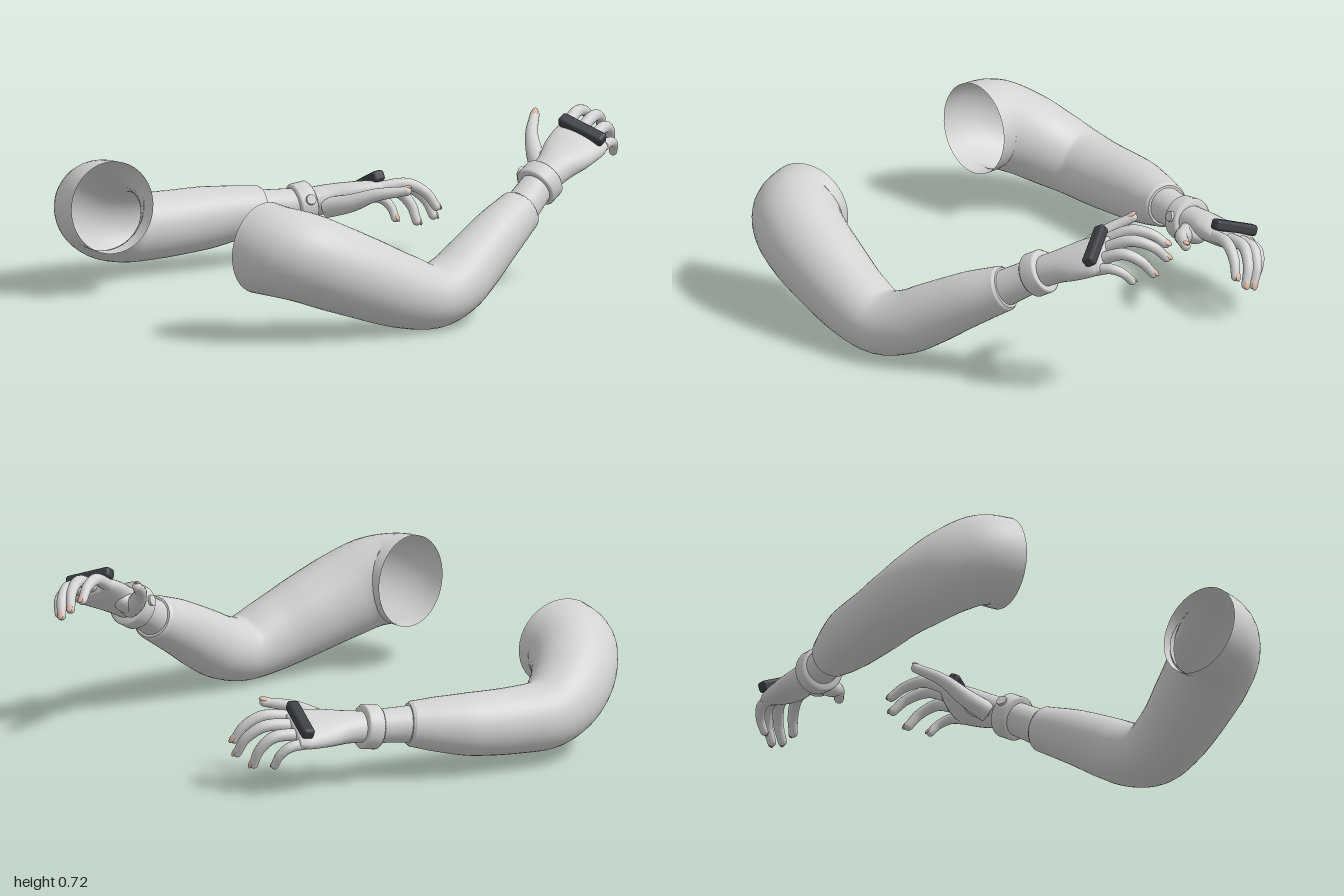
import * as THREE from 'three';
import { RoundedBoxGeometry } from 'three/addons/geometries/RoundedBoxGeometry.js';

const V = (x, y, z) => new THREE.Vector3(x, y, z);

// Smooth tube through sections [x, y, z, radiusA, radiusB]; radiusA lies along ref
function loft(sections, ref, rings, sides, capped = false) {
  const curve = new THREE.CatmullRomCurve3(sections.map((s) => V(s[0], s[1], s[2])));
  const radii = new THREE.CatmullRomCurve3(sections.map((s) => V(s[3], s[4] ?? s[3], 0)), false, 'catmullrom', 0.4);
  const pos = [], idx = [];
  for (let i = 0; i <= rings; i++) {
    const f = i / rings, c = curve.getPoint(f), t = curve.getTangent(f), r = radii.getPoint(f);
    const a = ref.clone().addScaledVector(t, -ref.dot(t)).normalize();
    const b = t.clone().cross(a);
    for (let j = 0; j < sides; j++) {
      const q = (j / sides) * Math.PI * 2;
      const p = c.clone().addScaledVector(a, r.x * Math.cos(q)).addScaledVector(b, r.y * Math.sin(q));
      pos.push(p.x, p.y, p.z);
      if (i < rings) {
        const k = i * sides + j, n = i * sides + ((j + 1) % sides);
        idx.push(k, n, k + sides, n, n + sides, k + sides);
      }
    }
  }
  if (capped) {
    for (const [i, end] of [[0, 0], [rings, 1]]) {
      const c = curve.getPoint(end), centre = pos.length / 3;
      pos.push(c.x, c.y, c.z);
      for (let j = 0; j < sides; j++) {
        const k = i * sides + j, n = i * sides + ((j + 1) % sides);
        if (end) idx.push(centre, k, n);
        else idx.push(centre, n, k);
      }
    }
  }
  const g = new THREE.BufferGeometry();
  g.setAttribute('position', new THREE.Float32BufferAttribute(pos, 3));
  g.setIndex(idx);
  g.computeVertexNormals();
  return g;
}

function add(parent, name, geometry, material, position) {
  const mesh = new THREE.Mesh(geometry, material);
  mesh.name = name;
  if (position) mesh.position.copy(position);
  parent.add(mesh);
  return mesh;
}

// Digit centre lines: x outward from the thumb side, y toward the back of the hand, z forward
const DIGITS = {
  indexFinger: [[-0.085, -0.02, 0.3, 0.026], [-0.105, -0.035, 0.42, 0.024], [-0.107, -0.09, 0.485, 0.021], [-0.103, -0.15, 0.51, 0.018]],
  middleFinger: [[-0.03, -0.02, 0.31, 0.026], [-0.037, -0.035, 0.44, 0.024], [-0.043, -0.105, 0.5, 0.021], [-0.0455, -0.175, 0.512, 0.018]],
  ringFinger: [[0.03, -0.02, 0.3, 0.026], [0.028, -0.04, 0.42, 0.024], [0.028, -0.105, 0.463, 0.021], [0.0275, -0.175, 0.467, 0.018]],
  littleFinger: [[0.08, -0.025, 0.28, 0.024], [0.088, -0.045, 0.37, 0.021], [0.087, -0.09, 0.402, 0.018], [0.083, -0.138, 0.405, 0.016]],
  thumb: [[-0.04, -0.04, 0.08, 0.042], [-0.12, -0.055, 0.15, 0.036], [-0.195, -0.055, 0.235, 0.026], [-0.253, -0.075, 0.345, 0.019]],
};

function makeHand(m, mats) {
  const hand = new THREE.Group();
  // palm
  add(hand, 'palm', loft([
    [0, 0, 0.01, 0.066, 0.06], [0, -0.003, 0.1, 0.078, 0.058], [0, -0.01, 0.2, 0.106, 0.052],
    [0, -0.02, 0.29, 0.116, 0.045], [0, -0.026, 0.335, 0.105, 0.03],
  ], V(1, 0, 0), 20, 32, true), mats.shell);
  // pad and round joint at the thumb root
  add(hand, 'thumbPad', new THREE.SphereGeometry(0.05, 24, 16), mats.shell, V(-0.065 * m, -0.045, 0.13)).scale.set(1, 0.75, 1.4);
  // cuff ring with bevelled rims
  const profile = [[0.06, -0.036], [0.083, -0.036], [0.09, -0.028], [0.09, 0.028], [0.083, 0.036], [0.06, 0.036]];
  const cuff = new THREE.LatheGeometry(profile.map((p) => new THREE.Vector2(...p)), 40);
  cuff.rotateX(Math.PI / 2);
  add(hand, 'wristCuff', cuff, mats.shell);
  const stud = new THREE.CylinderGeometry(0.02, 0.022, 0.02, 20);
  stud.rotateZ(Math.PI / 2);
  add(hand, 'cuffStud', stud, mats.shell, V(-0.09 * m, 0, 0.005));
  // dark bar over the knuckles
  add(hand, 'knuckleBar', new RoundedBoxGeometry(0.208, 0.045, 0.052, 3, 0.014), mats.dark, V(-0.004 * m, 0.026, 0.31));
  // fingers and thumb, each with a rounded tip and a nail
  for (const [name, line] of Object.entries(DIGITS)) {
    const pts = line.map(([x, y, z, r]) => [x * m, y, z, r]);
    add(hand, name, loft(pts, V(1, 0.1, 0), 18, 16), mats.shell);
    const [x, y, z, r] = pts[3];
    add(hand, name + 'Tip', new THREE.SphereGeometry(r, 16, 12), mats.shell, V(x, y, z));
    const t = new THREE.CatmullRomCurve3(pts.map((p) => V(p[0], p[1], p[2]))).getTangent(1);
    const up = V(0, 1, 0).addScaledVector(t, -t.y).normalize();
    const nail = add(hand, name + 'Nail', new THREE.SphereGeometry(r, 16, 12), mats.nail, V(x, y, z).addScaledVector(up, r * 0.72));
    nail.scale.set(0.72, 0.42, 1.25);
    nail.quaternion.setFromRotationMatrix(new THREE.Matrix4().makeBasis(up.clone().cross(t), up, t));
  }
  return hand;
}

function makeArm({ name, m, sleeve, cuff, outward, forward }, mats) {
  const arm = new THREE.Group();
  arm.name = name;
  // hollow sleeve, open at the shoulder
  add(arm, 'sleeve', loft(sleeve, V(0, 1, 0), 48, 40), mats.sleeve);
  const [sx, sy, sz, r] = sleeve[sleeve.length - 1];
  const end = V(sx, sy, sz);
  const prev = sleeve[sleeve.length - 2];
  const dir = end.clone().sub(V(prev[0], prev[1], prev[2])).normalize();
  // closing rim at the end of the sleeve
  const rim = add(arm, 'sleeveRim', new THREE.CylinderGeometry(r * 0.9, r, 0.014, 40), mats.shell, end.clone().addScaledVector(dir, 0.005));
  rim.quaternion.setFromUnitVectors(V(0, 1, 0), dir);
  // wrist
  const mid = end.clone().lerp(cuff, 0.5);
  add(arm, 'wrist', loft([
    [sx, sy, sz, 0.074], [mid.x, mid.y, mid.z, 0.07], [cuff.x, cuff.y, cuff.z, 0.066],
  ], V(0, 1, 0), 8, 32), mats.shell);
  // hand, aligned to its own axes
  const hand = makeHand(m, mats);
  hand.name = 'hand';
  const zAxis = forward.clone().normalize();
  const xAxis = outward.clone().multiplyScalar(m);
  xAxis.addScaledVector(zAxis, -xAxis.dot(zAxis)).normalize();
  const yAxis = zAxis.clone().cross(xAxis);
  hand.quaternion.setFromRotationMatrix(new THREE.Matrix4().makeBasis(xAxis, yAxis, zAxis));
  hand.position.copy(cuff);
  arm.add(hand);
  return arm;
}

export function createModel() {
  const mat = (name, color, extra = {}) => {
    const material = new THREE.MeshStandardMaterial({ color, ...extra });
    material.name = name;
    return material;
  };
  const mats = {
    sleeve: mat('lightGrey', 0xd2d2d2, { side: THREE.DoubleSide }),
    dark: mat('darkGrey', 0x3c3f44),
    nail: mat('nailPink', 0xd8b6a6),
  };
  mats.shell = mats.sleeve;

  const model = new THREE.Group();
  model.name = 'pairOfArms';
  model.add(makeArm({
    name: 'leftArm', m: -1,
    sleeve: [
      [0.51, 0.37, 0.8, 0.185], [0.59, 0.365, 0.785, 0.181], [0.66, 0.345, 0.715, 0.18], [0.705, 0.3, 0.61, 0.175],
      [0.737, 0.25, 0.49, 0.166], [0.772, 0.18, 0.32, 0.15], [0.784, 0.14, 0.17, 0.13, 0.141], [0.768, 0.17, 0.05, 0.128, 0.135],
      [0.745, 0.225, -0.05, 0.125], [0.7, 0.32, -0.21, 0.111], [0.655, 0.4, -0.365, 0.092],
    ],
    cuff: V(0.605, 0.49, -0.505), outward: V(0.85, -0.35, -0.4), forward: V(-0.2, 0.5, -0.85),
  }, mats));
  model.add(makeArm({
    name: 'rightArm', m: 1,
    sleeve: [
      [-0.49, 0.37, 0.8, 0.185], [-0.59, 0.362, 0.785, 0.181], [-0.69, 0.31, 0.72, 0.17], [-0.76, 0.25, 0.625, 0.157],
      [-0.797, 0.207, 0.51, 0.142], [-0.78, 0.2, 0.375, 0.135], [-0.74, 0.21, 0.17, 0.127], [-0.7, 0.222, 0.05, 0.112],
      [-0.66, 0.235, -0.065, 0.092],
    ],
    cuff: V(-0.605, 0.24, -0.23), outward: V(-0.9, -0.36, -0.24), forward: V(0.2, 0.144, -0.96),
  }, mats));
  return model;
}
